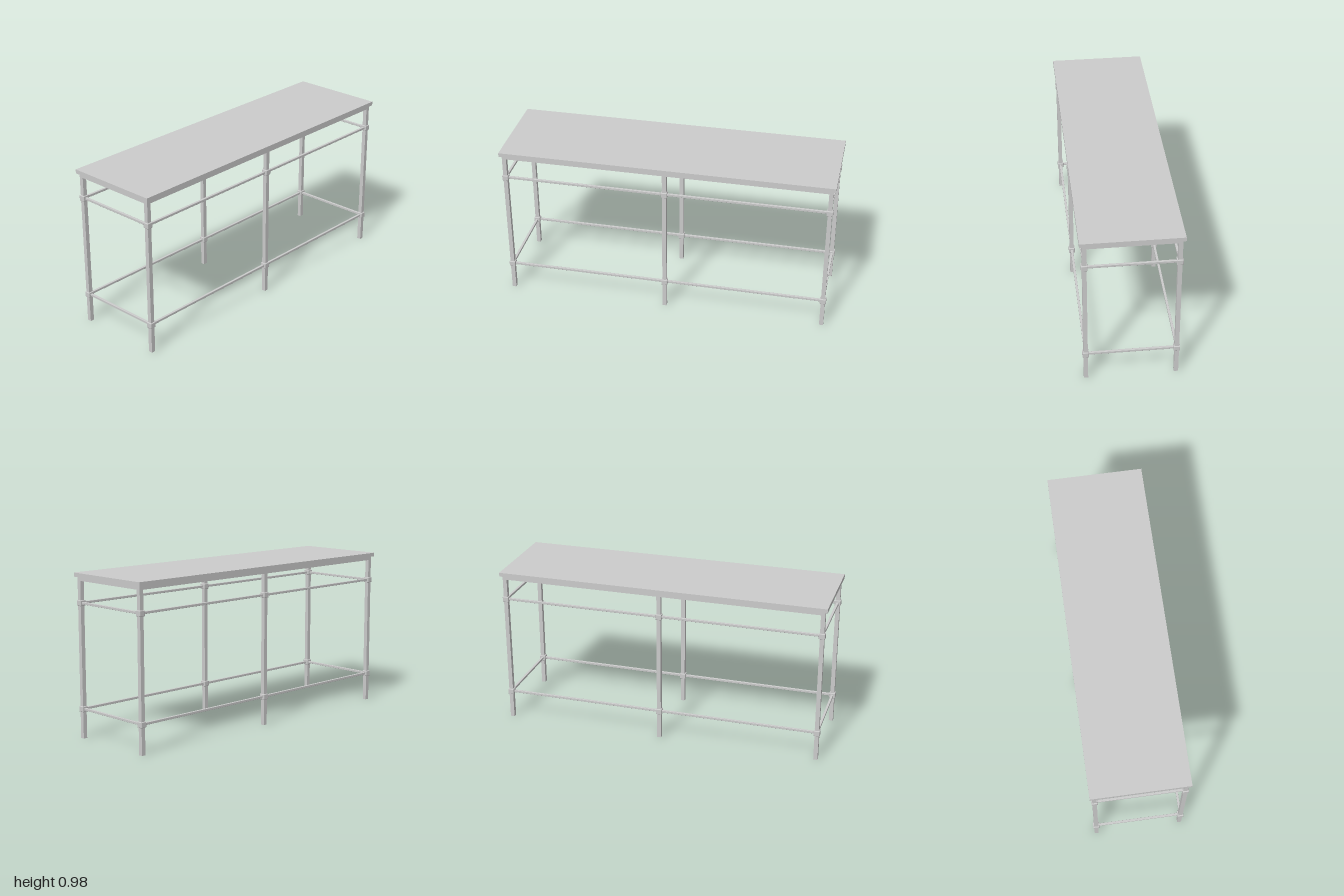
import * as THREE from 'three';
import { RoundedBoxGeometry } from 'three/addons/geometries/RoundedBoxGeometry.js';

const LEG = 0.025, RAIL = 0.014;
const LEG_X = 0.973, LEG_Z = 0.261;
const TOP_Y = 0.951;               // underside of the table top
const RAIL_HEIGHTS = [0.176, 0.8];

export function createModel() {
  const model = new THREE.Group();
  model.name = 'workTable';
  const material = new THREE.MeshStandardMaterial({ color: 0xcccccc });

  function add(name, geometry, x, y, z) {
    const mesh = new THREE.Mesh(geometry, material);
    mesh.name = name;
    mesh.position.set(x, y, z);
    model.add(mesh);
  }
  const box = (w, h, d) => new THREE.BoxGeometry(w, h, d);
  const softBox = (w, h, d, r) => new RoundedBoxGeometry(w, h, d, 2, r);

  // table top
  add('tableTop', box(2, 0.024, 0.576), 0, TOP_Y + 0.012, 0);

  // six legs with foot caps and a joint block at each rail height
  for (const x of [-LEG_X, 0, LEG_X]) {
    for (const z of [-LEG_Z, LEG_Z]) {
      add('leg', box(LEG, TOP_Y - 0.003, LEG), x, (TOP_Y + 0.003) / 2, z);
      add('footCap', box(LEG, 0.003, LEG), x, 0.0015, z);
      for (const y of RAIL_HEIGHTS) add('joint', softBox(0.037, 0.034, 0.037, 0.004), x, y, z);
    }
  }

  // frame under the top
  const apronY = TOP_Y - 0.011;
  for (const s of [-1, 1]) {
    for (const h of [-1, 1]) {
      add('longApron', box(LEG_X - LEG, 0.022, LEG), h * LEG_X / 2, apronY, s * LEG_Z);
    }
    add('endApron', box(LEG, 0.022, 2 * LEG_Z - LEG), s * LEG_X, apronY, 0);
  }

  // long rails front and back, short rails at both ends
  for (const y of RAIL_HEIGHTS) {
    for (const s of [-1, 1]) {
      for (const h of [-1, 1]) {
        add('longRail', softBox(LEG_X - LEG, RAIL, RAIL, 0.0015), h * LEG_X / 2, y, s * LEG_Z);
      }
      add('endRail', softBox(RAIL, RAIL, 2 * LEG_Z - LEG, 0.0015), s * LEG_X, y, 0);
    }
  }
  return model;
}
